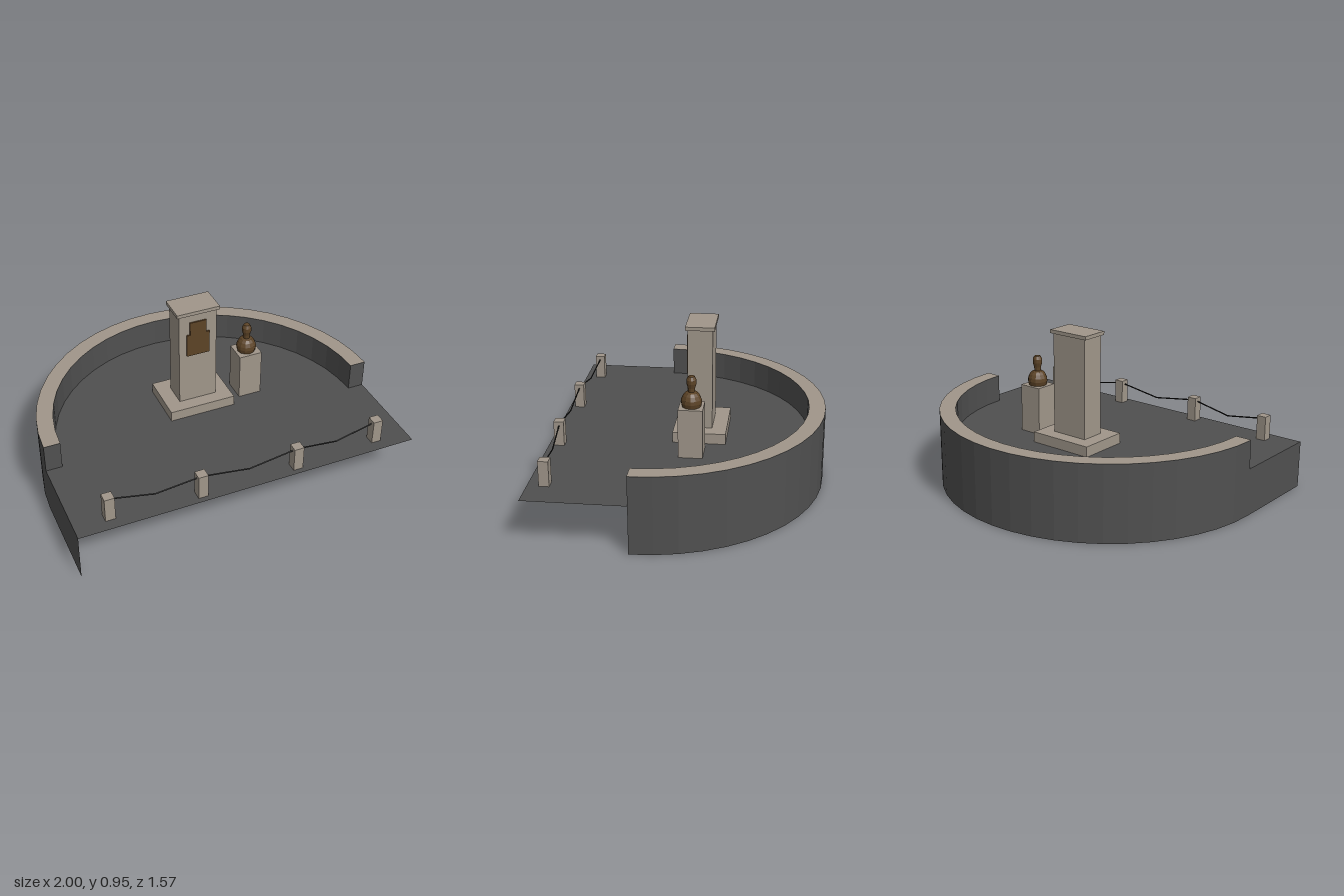
import * as THREE from 'three';

const mat = (name, color, extra = {}) => {
  const m = new THREE.MeshStandardMaterial({ color, ...extra });
  m.name = name;
  return m;
};

export function createModel() {
  const group = new THREE.Group();
  const paleStone = mat('pale stone', 0xa0968a);
  const darkStone = mat('dark stone', 0x505050);
  const paving = mat('paving', 0x505050, { side: THREE.DoubleSide });
  const bronze = mat('bronze', 0x5c4326, { flatShading: true });
  const chainIron = mat('chain iron', 0x1c1c1c);

  const FLOOR = 0.28, RIM = 0.45, ARC_Z = 0.215, FRONT = 0.78;

  const add = (name, geometry, material, x = 0, y = 0, z = 0) => {
    const mesh = new THREE.Mesh(geometry, material);
    mesh.name = name;
    mesh.position.set(x, y, z);
    group.add(mesh);
    return mesh;
  };
  // Box standing on the height y0
  const block = (name, w, y0, y1, d, x, z, material = paleStone) =>
    add(name, new THREE.BoxGeometry(w, y1 - y0, d), material, x, (y0 + y1) / 2, z);

  // Half-round wall with a pale coping on top
  const ring = new THREE.Shape();
  ring.absarc(0, -ARC_Z, 1, 0, Math.PI, false);
  ring.absarc(0, -ARC_Z, 0.905, Math.PI, 0, true);
  ring.closePath();
  const wall = new THREE.ExtrudeGeometry(ring, { depth: RIM - 0.001, bevelEnabled: false, curveSegments: 12 });
  add('curvedWall', wall.rotateX(-Math.PI / 2), darkStone);
  add('wallCoping', new THREE.ShapeGeometry(ring, 12).rotateX(-Math.PI / 2), paleStone, 0, RIM, 0);

  // Thin paved floor, open at the front
  const floor = new THREE.Shape();
  floor.moveTo(-1, -FRONT);
  floor.lineTo(1, -FRONT);
  floor.lineTo(1, -ARC_Z);
  floor.absarc(0, -ARC_Z, 0.95, 0, Math.PI, false);
  floor.lineTo(-1, -ARC_Z);
  floor.closePath();
  add('floor', new THREE.ShapeGeometry(floor, 12).rotateX(-Math.PI / 2), paving, 0, FLOOR, 0);

  // Single side panel under the floor
  const panel = new THREE.PlaneGeometry(FRONT - ARC_Z, FLOOR).rotateY(-Math.PI / 2);
  add('sidePanel', panel, paving, -1, FLOOR / 2, (FRONT + ARC_Z) / 2);

  // Memorial pillar
  block('pillarBase', 0.4, FLOOR - 0.002, 0.342, 0.305, 0, -0.068);
  block('pillarShaft', 0.23, 0.342, 0.934, 0.143, 0, -0.065);
  block('pillarCap', 0.26, 0.934, 0.955, 0.167, 0, -0.065);

  // Stepped bronze plaque
  const plaque = new THREE.Shape([
    [-0.07, 0.66], [0.07, 0.66], [0.07, 0.802], [0.05, 0.802],
    [0.05, 0.883], [-0.05, 0.883], [-0.05, 0.802], [-0.07, 0.802],
  ].map(([x, y]) => new THREE.Vector2(x, y)));
  add('plaque', new THREE.ExtrudeGeometry(plaque, { depth: 0.009, bevelEnabled: false }), bronze, 0, 0, 0.006);

  // Pedestal and bust
  block('pedestal', 0.14, FLOOR - 0.001, 0.566, 0.137, 0.33, -0.04);
  const bustProfile = [
    [0, 0.566], [0.053, 0.566], [0.059, 0.59], [0.057, 0.61], [0.047, 0.632], [0.034, 0.647],
    [0.019, 0.652], [0.021, 0.675], [0.028, 0.7], [0.028, 0.722], [0.018, 0.742], [0, 0.746],
  ].map(([r, y]) => new THREE.Vector2(r, y));
  add('bust', new THREE.LatheGeometry(bustProfile, 12), bronze, 0.33, 0, -0.04);

  // Posts along the front
  const posts = [[-0.8, 0.687], [-0.285, 0.72], [0.285, 0.72], [0.8, 0.687]];
  posts.forEach(([x, z]) => block('post', 0.057, FLOOR - 0.001, 0.425, 0.057, x, z));

  // Chain sagging between neighbouring posts
  const link = (a, b) => {
    const path = new THREE.LineCurve3(a, b);
    add('chain', new THREE.TubeGeometry(path, 1, 0.004, 6), chainIron);
  };
  for (let i = 0; i < posts.length - 1; i++) {
    const a = new THREE.Vector3(posts[i][0], 0.405, posts[i][1]);
    const b = new THREE.Vector3(posts[i + 1][0], 0.405, posts[i + 1][1]);
    const mid = a.clone().lerp(b, 0.5).setY(0.361);
    link(a, mid);
    link(mid, b);
  }

  return group;
}
